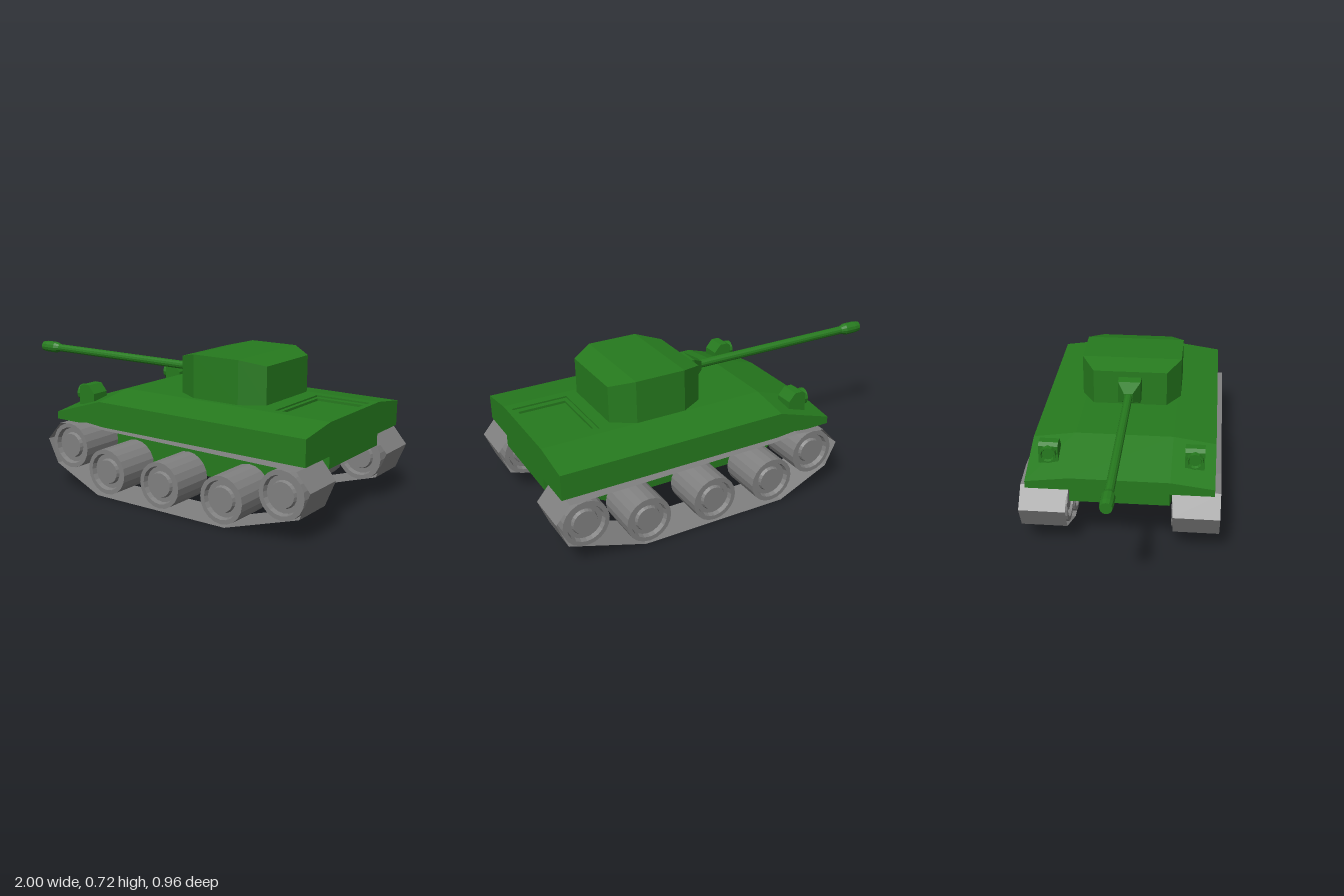
import * as THREE from 'three';

const green = new THREE.MeshStandardMaterial({ color: 0x267a1e, flatShading: true });
const grey = new THREE.MeshStandardMaterial({ color: 0x808080, flatShading: true });
const greyThin = new THREE.MeshStandardMaterial({ color: 0x808080, flatShading: true, side: THREE.DoubleSide });

function fromPositions(positions) {
  const g = new THREE.BufferGeometry();
  g.setAttribute('position', new THREE.Float32BufferAttribute(positions, 3));
  g.computeVertexNormals();
  return g;
}

// Symmetric loft along x. Each section: [x, half profile of [z, y] from bottom to top].
function loft(sections) {
  const rings = sections.map(([x, half]) => [
    ...half.map(([z, y]) => [x, y, -z]),
    ...half.slice().reverse().map(([z, y]) => [x, y, z]),
  ]);
  const out = [];
  const n = rings[0].length;
  const tri = (a, b, c) => out.push(...a, ...b, ...c);
  for (let i = 0; i < rings.length - 1; i++) {
    for (let j = 0; j < n; j++) {
      const k = (j + 1) % n;
      const [p, q] = [rings[i], rings[i + 1]];
      tri(p[j], p[k], q[k]);
      tri(p[j], q[k], q[j]);
    }
  }
  const [first, last] = [rings[0], rings[rings.length - 1]];
  for (let j = 1; j < n - 1; j++) {
    tri(last[0], last[j], last[j + 1]);
    tri(first[0], first[j + 1], first[j]);
  }
  return fromPositions(out);
}

function outline(points) {
  return new THREE.Shape(points.map(([x, y]) => new THREE.Vector2(x, y)));
}

function extrude(shape, depth) {
  return new THREE.ExtrudeGeometry(shape, { depth, bevelEnabled: false });
}

function rect(x0, x1, half) {
  return [[x0, -half], [x1, -half], [x1, half], [x0, half]];
}

// Lathe about the x axis; points are [x, radius] with x increasing.
function latheX(points, sides) {
  const g = new THREE.LatheGeometry(points.map(([x, r]) => new THREE.Vector2(r, x)), sides);
  return g.rotateZ(-Math.PI / 2);
}

export function createModel() {
  const model = new THREE.Group();
  const add = (name, geometry, material = green, parent = model) => {
    const mesh = new THREE.Mesh(geometry, material);
    mesh.name = name;
    parent.add(mesh);
    return mesh;
  };

  // Lower hull between the tracks
  const belly = outline([[-0.47, 0.28], [-0.2, 0.13], [0.655, 0.13], [0.955, 0.285], [0.955, 0.35], [-0.47, 0.35]]);
  add('lowerHull', extrude(belly, 0.476).translate(0, 0, -0.238));

  // Sloping front of the upper hull
  add('frontHull', loft([
    [-0.47, [[0.45, 0.342], [0.45, 0.378], [0.24, 0.405]]],
    [-0.19, [[0.45, 0.342], [0.45, 0.466], [0.24, 0.497]]],
  ]));

  // Rear upper hull, with a shallow channel that holds the deck plates
  const rearSection = outline([
    [-0.45, 0.342], [0.45, 0.342], [0.45, 0.466], [0.24, 0.497], [0.24, 0.477],
    [-0.24, 0.477], [-0.24, 0.497], [-0.45, 0.466],
  ]);
  add('rearHull', extrude(rearSection, 1.145).rotateY(Math.PI / 2).translate(-0.19, 0, 0));

  // Two deck plates forming the stepped recess behind the turret
  for (const [top, depth, hole] of [
    [0.497, 0.008, rect(0.65, 0.93, 0.195)],
    [0.489, 0.012, rect(0.67, 0.91, 0.165)],
  ]) {
    const plate = outline(rect(-0.19, 0.955, 0.24));
    plate.holes.push(outline(hole));
    add('deckPlate', extrude(plate, depth).rotateX(Math.PI / 2).translate(0, top, 0));
  }

  // Turret, mantlet and gun
  add('turret', loft([[0.12, 0.188, 0.69], [0.235, 0.257, 0.718], [0.487, 0.257, 0.718], [0.597, 0.186, 0.69]]
    .map(([x, w, top]) => [x, [[w, 0.509], [w, top]]])));
  add('mantlet', loft([[0.005, 0.022], [0.068, 0.057], [0.13, 0.06]]
    .map(([x, r]) => [x, [[r, 0.6 - r], [r, 0.6 + r]]])));
  add('gunBarrel', latheX([
    [-1, 0], [-1, 0.027], [-0.97, 0.031], [-0.91, 0.031], [-0.88, 0.021], [0.03, 0.021], [0.03, 0],
  ], 12).translate(0, 0.6, 0));

  // Track path round the wheels
  const path = [
    [-0.51, 0.238], [-0.45, 0.12], [-0.185, 0], [0.57, 0], [0.95, 0.12], [1, 0.245],
    [0.93, 0.327], [-0.12, 0.338], [-0.27, 0.35], [-0.425, 0.332],
  ];
  const wheelCentres = [[-0.36, 0.225], [-0.125, 0.13], [0.2, 0.125], [0.55, 0.125], [0.86, 0.21]];
  const wheelProfile = [
    [0, -0.108], [0.058, -0.108], [0.064, -0.092], [0.086, -0.092], [0.092, -0.115], [0.113, -0.115],
    [0.113, 0.115], [0.092, 0.115], [0.086, 0.092], [0.064, 0.092], [0.058, 0.108], [0, 0.108],
  ].map(([r, h]) => new THREE.Vector2(r, h));
  const wheelGeometry = new THREE.LatheGeometry(wheelProfile, 20).rotateX(Math.PI / 2);

  const lampProfile = outline([
    [-0.365, 0.42], [-0.27, 0.44], [-0.27, 0.485], [-0.305, 0.525], [-0.345, 0.525], [-0.365, 0.512],
  ]);

  for (const side of [1, -1]) {
    const running = new THREE.Group();
    running.name = side > 0 ? 'frontSideRunningGear' : 'backSideRunningGear';
    model.add(running);

    // Thin track band
    const [z0, z1] = side > 0 ? [0.255, 0.48] : [-0.48, -0.255];
    const band = [];
    path.forEach(([x, y], i) => {
      const [u, v] = path[(i + 1) % path.length];
      band.push(x, y, z1, x, y, z0, u, v, z0, x, y, z1, u, v, z0, u, v, z1);
    });
    add('track', fromPositions(band), greyThin, running);

    // Dished road wheels
    for (const [x, y] of wheelCentres) {
      add('wheel', wheelGeometry, grey, running).position.set(x, y, side * 0.364);
    }

    // Headlamp with a round lens
    const lamp = new THREE.Group();
    lamp.name = 'headlamp';
    lamp.position.z = side * 0.35;
    model.add(lamp);
    add('lampBody', extrude(lampProfile, 0.094).translate(0, 0, -0.047), green, lamp);
    add('lampLens', latheX([
      [-0.375, 0], [-0.375, 0.028], [-0.388, 0.033], [-0.388, 0.041], [-0.36, 0.041],
    ], 12).translate(0, 0.475, 0), green, lamp);
  }
  return model;
}
